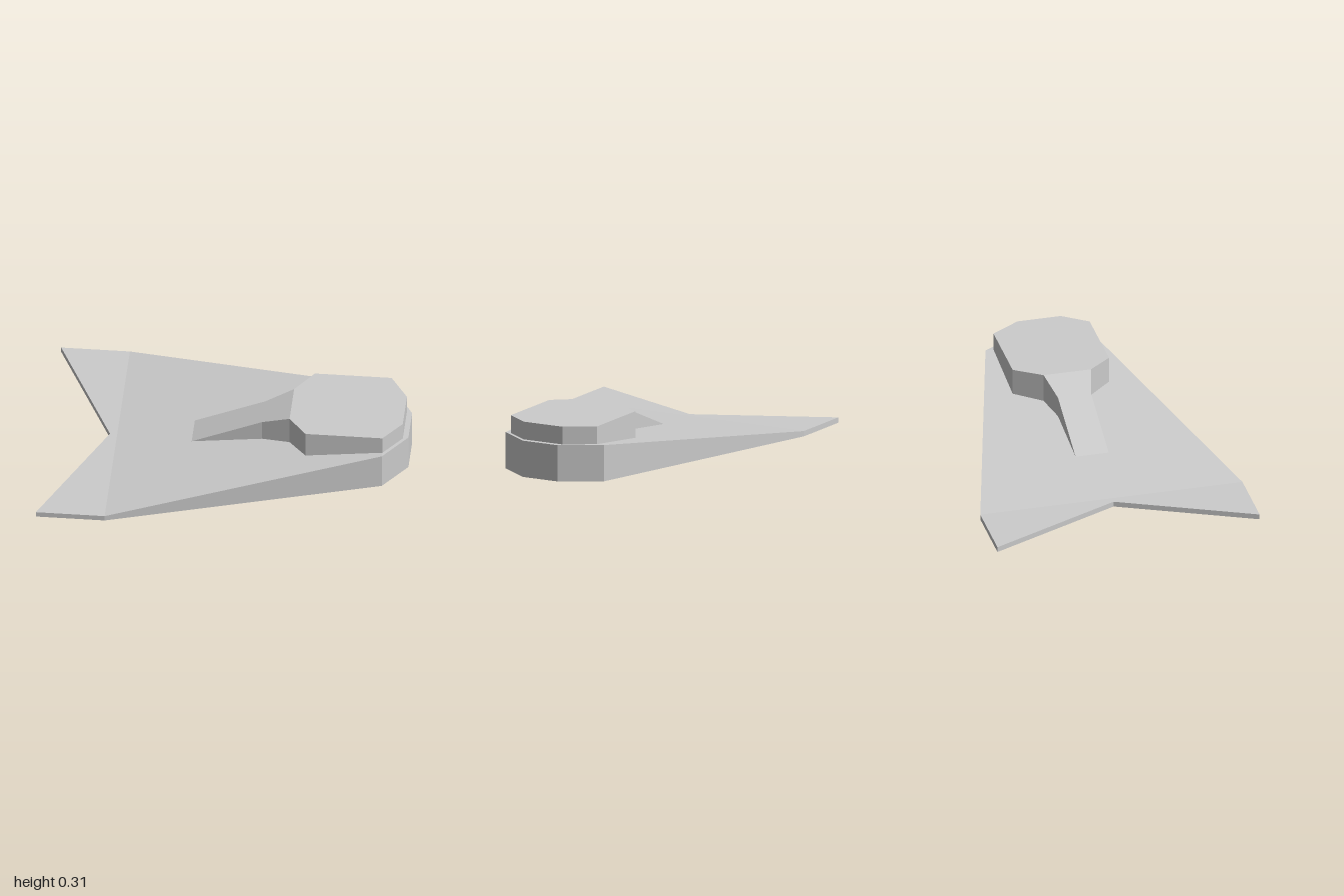
import * as THREE from 'three';

const material = new THREE.MeshStandardMaterial({ color: 0xcccccc, flatShading: true });

// Height of the hull deck: flat tail, rising middle, flat bow
const deckHeight = (x) => 0.03 + 0.175 * THREE.MathUtils.clamp((x + 0.62) / 1.49, 0, 1);
// Height of the superstructure roof: ramp up from the deck, then level
const roofHeight = (x) => THREE.MathUtils.mapLinear(Math.min(x, 0.345), -0.2, 0.345, deckHeight(-0.2), 0.305);

// Solid over an [x, z] outline; each band lists the outline corners of one planar cap
function slab(name, outline, bands, bottom, top) {
  const positions = [];
  const at = ([x, z], height) => [x, height(x), z];
  const tri = (a, b, c) => positions.push(...a, ...b, ...c);

  // Side walls
  outline.forEach((a, i) => {
    const b = outline[(i + 1) % outline.length];
    tri(at(a, bottom), at(a, top), at(b, top));
    tri(at(a, bottom), at(b, top), at(b, bottom));
  });

  // Upper and lower caps
  for (const band of bands) {
    const points = band.map((i) => new THREE.Vector2(...outline[i]));
    for (const face of THREE.ShapeUtils.triangulateShape(points, [])) {
      let [a, b, c] = face.map((i) => outline[band[i]]);
      const up = (b[1] - a[1]) * (c[0] - a[0]) - (b[0] - a[0]) * (c[1] - a[1]);
      if (up < 0) [b, c] = [c, b];
      tri(at(a, top), at(b, top), at(c, top));
      tri(at(a, bottom), at(c, bottom), at(b, bottom));
    }
  }

  const geometry = new THREE.BufferGeometry();
  geometry.setAttribute('position', new THREE.Float32BufferAttribute(positions, 3));
  geometry.computeVertexNormals();
  const mesh = new THREE.Mesh(geometry, material);
  mesh.name = name;
  return mesh;
}

export function createModel() {
  const model = new THREE.Group();
  model.name = 'wedgeShip';

  // Wedge hull with a swallow tail: tail, rising deck and bow bands
  const hull = [
    [-1, -0.747], [-0.62, -0.747], [0.87, -0.335], [1, -0.113], [1, 0.107],
    [0.87, 0.29], [-0.62, 0.743], [-1, 0.743], [-0.66, 0],
  ];
  model.add(slab('hull', hull, [[0, 1, 6, 7, 8], [1, 2, 5, 6], [2, 3, 4, 5]], () => 0, deckHeight));

  // Superstructure: narrow ramp widening into a level block, cut corners at the bow
  const tower = [
    [-0.2, -0.098], [0.19, -0.098], [0.345, -0.14], [0.445, -0.29], [0.87, -0.29], [0.97, -0.128],
    [0.97, 0.118], [0.87, 0.257], [0.445, 0.257], [0.345, 0.13], [0.19, 0.09], [-0.2, 0.09],
  ];
  model.add(slab('superstructure', tower,
    [[0, 1, 2, 9, 10, 11], [2, 3, 4, 7, 8, 9], [4, 5, 6, 7]], deckHeight, roofHeight));

  return model;
}
